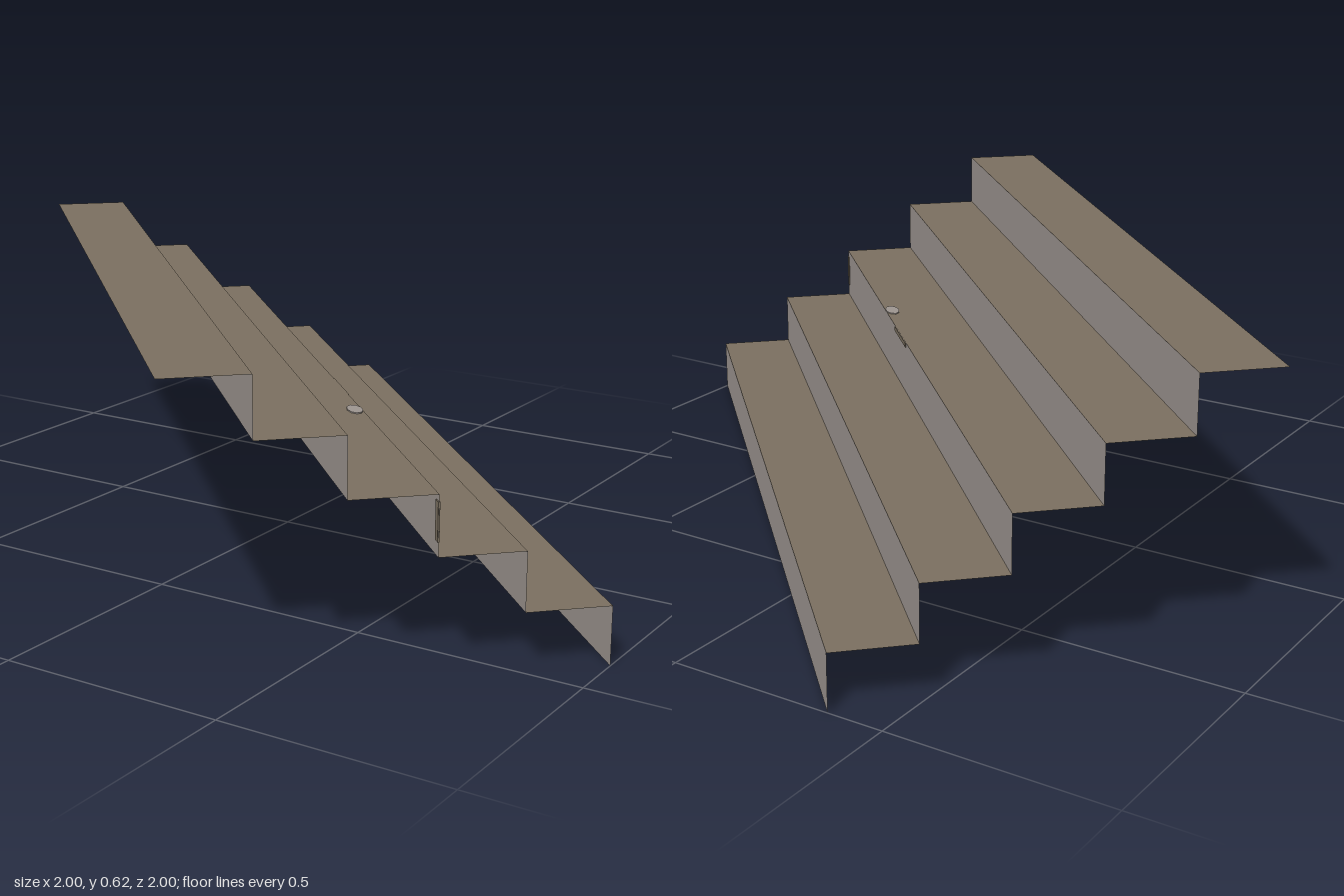
import * as THREE from 'three';

const STEPS = 5;
const RISE = 0.125;
const DEPTH = 0.125 * Math.SQRT2;
const LENGTH = 1.375 * Math.SQRT2;

export function createModel() {
  const treadMat = new THREE.MeshStandardMaterial({ color: 0x7b7060, side: THREE.DoubleSide });
  treadMat.name = 'brownTread';
  const riserMat = new THREE.MeshStandardMaterial({ color: 0x9e9691, side: THREE.DoubleSide });
  riserMat.name = 'greyRiser';

  const stairs = new THREE.Group();
  stairs.name = 'stairs';

  const add = (name, geometry, material, x, y, z) => {
    const mesh = new THREE.Mesh(geometry, material);
    mesh.name = name;
    mesh.position.set(x, y, z);
    stairs.add(mesh);
    return mesh;
  };

  // Thin sheets: each riser faces local -z, each tread faces up
  const riserGeo = new THREE.PlaneGeometry(LENGTH, RISE).rotateY(Math.PI);
  const treadGeo = new THREE.PlaneGeometry(LENGTH, DEPTH).rotateX(-Math.PI / 2);
  const edge = (i) => (i - STEPS / 2) * DEPTH;
  for (let i = 0; i < STEPS; i++) {
    add('riser' + (i + 1), riserGeo, riserMat, 0, (i + 0.5) * RISE, edge(i));
    add('tread' + (i + 1), treadGeo, treadMat, 0, (i + 1) * RISE, edge(i) + DEPTH / 2);
  }

  // Small worn marks on the middle step
  const chip = new THREE.CylinderGeometry(1, 1, 0.003, 9);
  add('treadChip', chip, riserMat, 0.368, 3 * RISE + 0.001, -0.072).scale.set(0.034, 1, 0.017);
  add('riserChip', new THREE.BoxGeometry(0.14, 0.011, 0.004), treadMat, 0.166, 3 * RISE - 0.006, edge(2));
  add('riserEndChip', new THREE.BoxGeometry(0.018, 0.08, 0.004), treadMat, LENGTH / 2 - 0.01, 0.32, edge(2));

  // The flight runs diagonally, climbing toward the front left of the plan
  stairs.rotation.y = -Math.PI / 4;

  const model = new THREE.Group();
  model.name = 'staircase';
  model.add(stairs);
  return model;
}
